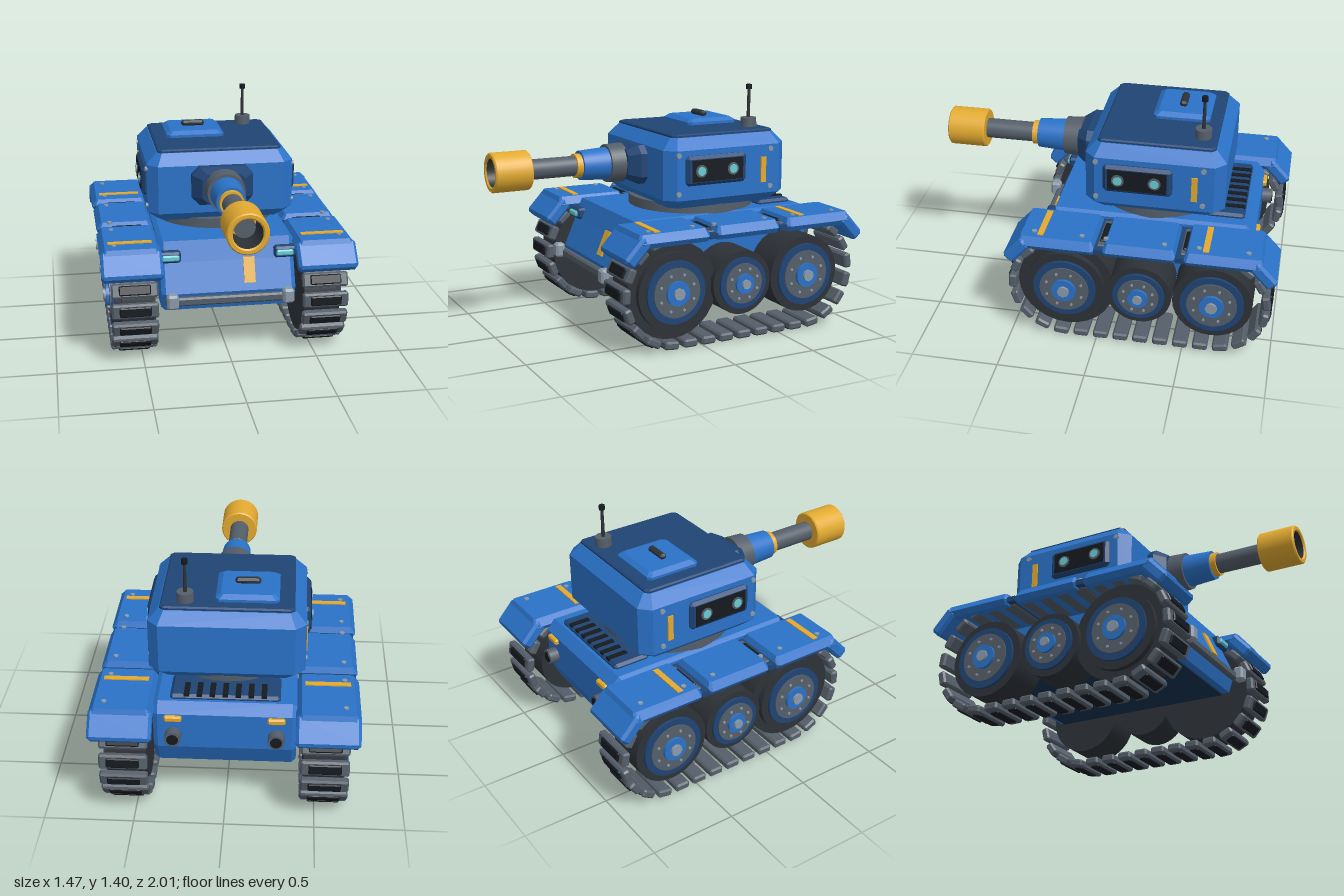
import * as THREE from 'three';
import { ConvexGeometry } from 'three/addons/geometries/ConvexGeometry.js';

const mat = (color, side = THREE.FrontSide) => new THREE.MeshStandardMaterial({ color, side });
const blue = mat(0x2a72c8), navy = mat(0x1f4474), deep = mat(0x14304f), grey = mat(0x545e69), dark = mat(0x2d3238),
  black = mat(0x151a20), yellow = mat(0xe2aa30), cyan = mat(0x68ccd4), steel = mat(0x8b9aa9);
const yellowThin = mat(0xe2aa30, THREE.DoubleSide);

function add(parent, name, geo, material, x = 0, y = 0, z = 0) {
  const m = new THREE.Mesh(geo, material);
  m.name = name;
  m.position.set(x, y, z);
  parent.add(m);
  return m;
}

const box = (w, h, d) => new THREE.BoxGeometry(w, h, d);

// Box with every edge cut by c
function chamferBox(w, h, d, c) {
  const pts = [];
  for (const i of [-1, 1]) for (const j of [-1, 1]) for (const k of [-1, 1]) {
    const a = w / 2, b = h / 2, e = d / 2;
    pts.push(new THREE.Vector3(i * a, j * (b - c), k * (e - c)),
      new THREE.Vector3(i * (a - c), j * b, k * (e - c)),
      new THREE.Vector3(i * (a - c), j * (b - c), k * e));
  }
  return new ConvexGeometry(pts);
}

// Solid through stacked octagons: each level is [y, halfX, halfZ, cornerCut]
function octStack(levels) {
  const pts = [];
  for (const [y, a, b, c] of levels) for (const i of [-1, 1]) for (const k of [-1, 1])
    pts.push(new THREE.Vector3(i * a, y, k * (b - c)), new THREE.Vector3(i * (a - c), y, k * b));
  return new ConvexGeometry(pts);
}

// Cylinders along each axis; r2 is the radius at the + end
const cylY = (r1, r2, h, n = 24) => new THREE.CylinderGeometry(r2, r1, h, n);
const cylX = (r1, r2, h, n = 32) => cylY(r1, r2, h, n).rotateZ(-Math.PI / 2);
const cylZ = (r1, r2, h, n = 32) => cylY(r1, r2, h, n).rotateX(Math.PI / 2);

function buildHull() {
  const g = new THREE.Group();
  g.name = 'hull';
  // Side profile as (z, y), swept across the width
  const profile = [[-0.79, 0.31], [-0.84, 0.42], [-0.84, 0.62], [-0.8, 0.665], [0.28, 0.665], [0.32, 0.56], [0.39, 0.4], [0.36, 0.31]];
  const shape = new THREE.Shape(profile.map(([z, y]) => new THREE.Vector2(-z, y)));
  const geo = new THREE.ExtrudeGeometry(shape, { depth: 0.73, bevelSize: 0.018, bevelThickness: 0.025, bevelSegments: 1 });
  geo.translate(0, 0, -0.365).rotateY(Math.PI / 2);
  add(g, 'hullBody', geo, blue);
  add(g, 'bellyPlate', box(0.72, 0.02, 1.1), deep, 0, 0.292, -0.22);
  add(g, 'frontTag', box(0.065, 0.15, 0.02), yellow, 0.122, 0.51, 0.362).rotation.x = -0.4;
  add(g, 'bumperBar', chamferBox(0.74, 0.05, 0.04, 0.01), grey, 0, 0.365, 0.43);
  for (const s of [-1, 1]) {
    add(g, 'bumperBracket', chamferBox(0.065, 0.085, 0.06, 0.012), steel, s * 0.333, 0.38, 0.46);
    add(g, 'headlightHousing', chamferBox(0.13, 0.065, 0.07, 0.012), navy, s * 0.335, 0.603, 0.325);
    add(g, 'headlightLens', chamferBox(0.1, 0.035, 0.02, 0.008), cyan, s * 0.33, 0.603, 0.362);
    add(g, 'exhaustPipe', cylZ(0.045, 0.045, 0.07, 16), grey, s * 0.28, 0.5, -0.88);
    add(g, 'exhaustBore', cylZ(0.032, 0.032, 0.01, 16), black, s * 0.28, 0.5, -0.914);
    add(g, 'tailLight', chamferBox(0.095, 0.035, 0.03, 0.008), yellow, s * 0.28, 0.605, -0.865);
  }
  // Engine grille
  add(g, 'grilleBase', chamferBox(0.6, 0.04, 0.22, 0.015), navy, 0, 0.687, -0.68);
  for (let i = -3; i <= 3; i++) add(g, 'grilleSlot', box(0.03, 0.02, 0.12), black, i * 0.07, 0.703, -0.725);
  add(g, 'turretRing', cylY(0.375, 0.375, 0.08, 32), grey, 0, 0.7, -0.265);
  return g;
}

function buildTurret() {
  const g = new THREE.Group();
  g.name = 'turret';
  const cz = -0.285;
  add(g, 'turretBody', octStack([[0.73, 0.37, 0.34, 0.05], [0.785, 0.43, 0.395, 0.06], [1.07, 0.43, 0.395, 0.06], [1.135, 0.37, 0.335, 0.03]]), blue, 0, 0, cz);
  add(g, 'roofPlate', octStack([[1.13, 0.365, 0.33, 0.02], [1.145, 0.365, 0.33, 0.02], [1.152, 0.355, 0.32, 0.02]]), navy, 0, 0, cz);
  add(g, 'hatch', octStack([[1.15, 0.173, 0.163, 0.02], [1.168, 0.173, 0.163, 0.02], [1.188, 0.145, 0.135, 0.015]]), blue, -0.107, 0, -0.383);
  add(g, 'hatchHandle', chamferBox(0.14, 0.035, 0.042, 0.012), dark, -0.105, 1.202, -0.38);
  // Antenna
  add(g, 'antennaBase', cylY(0.048, 0.046, 0.055), grey, 0.23, 1.177, -0.53);
  add(g, 'antennaRod', cylY(0.011, 0.008, 0.2, 12), dark, 0.23, 1.29, -0.53);
  add(g, 'antennaTip', cylY(0.017, 0.017, 0.028, 12), black, 0.23, 1.386, -0.53);
  // Side sensor panels, tags and rivets
  for (const s of [-1, 1]) {
    add(g, 'sensorFrame', chamferBox(0.05, 0.17, 0.39, 0.018), navy, s * 0.43, 0.953, -0.195);
    add(g, 'sensorPanel', box(0.012, 0.125, 0.33), black, s * 0.453, 0.953, -0.195);
    for (const z of [-0.087, -0.293]) {
      add(g, 'lampRim', cylX(0.036, 0.036, 0.02, 20), grey, s * 0.454, 0.953, z);
      add(g, 'lampLens', cylX(0.025, 0.025, 0.026, 20), cyan, s * 0.455, 0.953, z);
    }
    add(g, 'sideTag', box(0.016, 0.15, 0.034), yellow, s * 0.43, 0.925, -0.512);
    for (const y of [0.825, 1.045]) for (const z of [0.042, -0.56])
      add(g, 'turretRivet', cylX(0.015, 0.015, 0.016, 12), steel, s * 0.43, y, z);
  }
  return g;
}

function buildGun() {
  const g = new THREE.Group();
  g.name = 'gun';
  g.position.y = 0.957;
  const mantlet = octStack([[0.09, 0.178, 0.113, 0.045], [0.15, 0.178, 0.113, 0.045], [0.21, 0.125, 0.085, 0.03]]);
  add(g, 'mantlet', mantlet.rotateX(Math.PI / 2), navy);
  add(g, 'gunCollar', cylZ(0.115, 0.11, 0.1), grey, 0, 0, 0.25);
  add(g, 'gunSleeve', cylZ(0.095, 0.085, 0.165), blue, 0, 0, 0.38);
  add(g, 'gunRing', cylZ(0.07, 0.07, 0.04), yellow, 0, 0, 0.478);
  add(g, 'barrel', cylZ(0.058, 0.058, 0.42), grey, 0, 0, 0.68);
  // Hollow muzzle: back plate, outer wall, lip, bore
  const wall = (a, b) => new THREE.LatheGeometry([a, b].map(p => new THREE.Vector2(...p)), 32).rotateX(Math.PI / 2);
  const rim = [[0.055, 0.78], [0.106, 0.78], [0.113, 0.787], [0.113, 0.993], [0.106, 1], [0.088, 1], [0.08, 0.992]];
  for (let i = 0; i < rim.length - 1; i++) add(g, 'muzzle', wall(rim[i], rim[i + 1]), yellowThin);
  add(g, 'muzzleBore', wall([0.08, 0.992], [0.08, 0.782]), mat(0x2d3238, THREE.DoubleSide));
  return g;
}

// Wheel with stacked discs; s is the side it faces
function buildWheel(s, z, r) {
  const g = new THREE.Group();
  g.name = 'roadWheel';
  g.position.set(0, 0.335, z);
  const k = r / 0.225;
  const disc = (name, rad, x0, x1, m, n) => add(g, name, cylX(rad, rad, x1 - x0, n), m, s * (x0 + x1) / 2);
  disc('tyre', r, 0.43, 0.655, dark, 28);
  disc('wheelRim', 0.18 * k, 0.6, 0.672, navy);
  disc('wheelFace', 0.142 * k, 0.6, 0.68, grey);
  disc('hub', 0.07 * k, 0.6, 0.697, blue);
  disc('hubCap', 0.034 * k, 0.6, 0.712, steel, 8);
  for (let i = 0; i < 8; i++) {
    const a = (i + 0.5) * Math.PI / 4;
    add(g, 'wheelBolt', cylX(0.008, 0.008, 0.01, 8), steel, s * 0.682, Math.sin(a) * 0.108 * k, Math.cos(a) * 0.108 * k);
  }
  return g;
}

// Links spaced round a stadium-shaped loop
function buildTrack(s) {
  const g = new THREE.Group();
  g.name = 'track';
  const R = 0.302, zF = 0.18, zR = -0.66, y0 = 0.335, L = zF - zR, arc = Math.PI * R, count = 31;
  const link = chamferBox(0.265, 0.046, 0.086, 0.01), pad = chamferBox(0.18, 0.02, 0.056, 0.006);
  for (let i = 0; i < count; i++) {
    let d = (i + 0.5) / count * 2 * (L + arc), z, a; // a: outward angle, 0 = down
    if (d < L) { z = zR + d; a = 0; }
    else if (d < L + arc) { z = zF; a = (d - L) / R; }
    else if (d < 2 * L + arc) { z = zF - (d - L - arc); a = Math.PI; }
    else { z = zR; a = Math.PI + (d - 2 * L - arc) / R; }
    const piece = new THREE.Group();
    piece.name = 'trackLink';
    piece.position.set(s * 0.547, y0 - R * Math.cos(a), z + R * Math.sin(a));
    piece.rotation.x = -a;
    add(piece, 'linkPlate', link, grey);
    add(piece, 'linkPad', pad, black, 0, -0.023, 0);
    g.add(piece);
  }
  return g;
}

function buildFenders(s) {
  const g = new THREE.Group();
  g.name = 'fender';
  const x = s * 0.558;
  const deck = (w, len, z) => add(g, 'fenderDeck',
    octStack([[0.615, w - 0.02, len / 2 - 0.01, 0.01], [0.645, w, len / 2, 0.02], [0.69, w - 0.03, len / 2 - 0.02, 0.01]]), blue, x, 0, z);
  deck(0.17, 0.41, -0.25);
  for (const e of [-1, 1]) {
    deck(0.175, 0.44, -0.25 + e * 0.465);
    add(g, 'fenderFlap', chamferBox(0.346, 0.075, 0.17, 0.016), blue, x, 0.597, -0.25 + e * 0.686).rotation.x = e * 0.83;
    add(g, 'fenderStripe', box(0.25, 0.012, 0.034), yellow, x, 0.69, -0.155 + e * 0.46);
    add(g, 'fenderJoint', box(0.32, 0.03, 0.05), navy, x, 0.64, -0.25 + e * 0.225);
  }
  for (const z of [-0.845, -0.575, -0.385, -0.06, 0.075, 0.345])
    add(g, 'fenderRivet', cylY(0.014, 0.014, 0.014, 12), steel, s * 0.65, 0.69, z);
  return g;
}

export function createModel() {
  const model = new THREE.Group();
  model.name = 'tank';
  model.add(buildHull(), buildTurret(), buildGun());
  for (const s of [-1, 1]) {
    model.add(buildTrack(s), buildFenders(s));
    for (const [z, r] of [[0.18, 0.225], [-0.245, 0.185], [-0.66, 0.225]]) model.add(buildWheel(s, z, r));
    add(model, 'driveDrum', cylX(0.278, 0.278, 0.19, 28), dark, s * 0.525, 0.335, 0.18);
  }
  return model;
}
